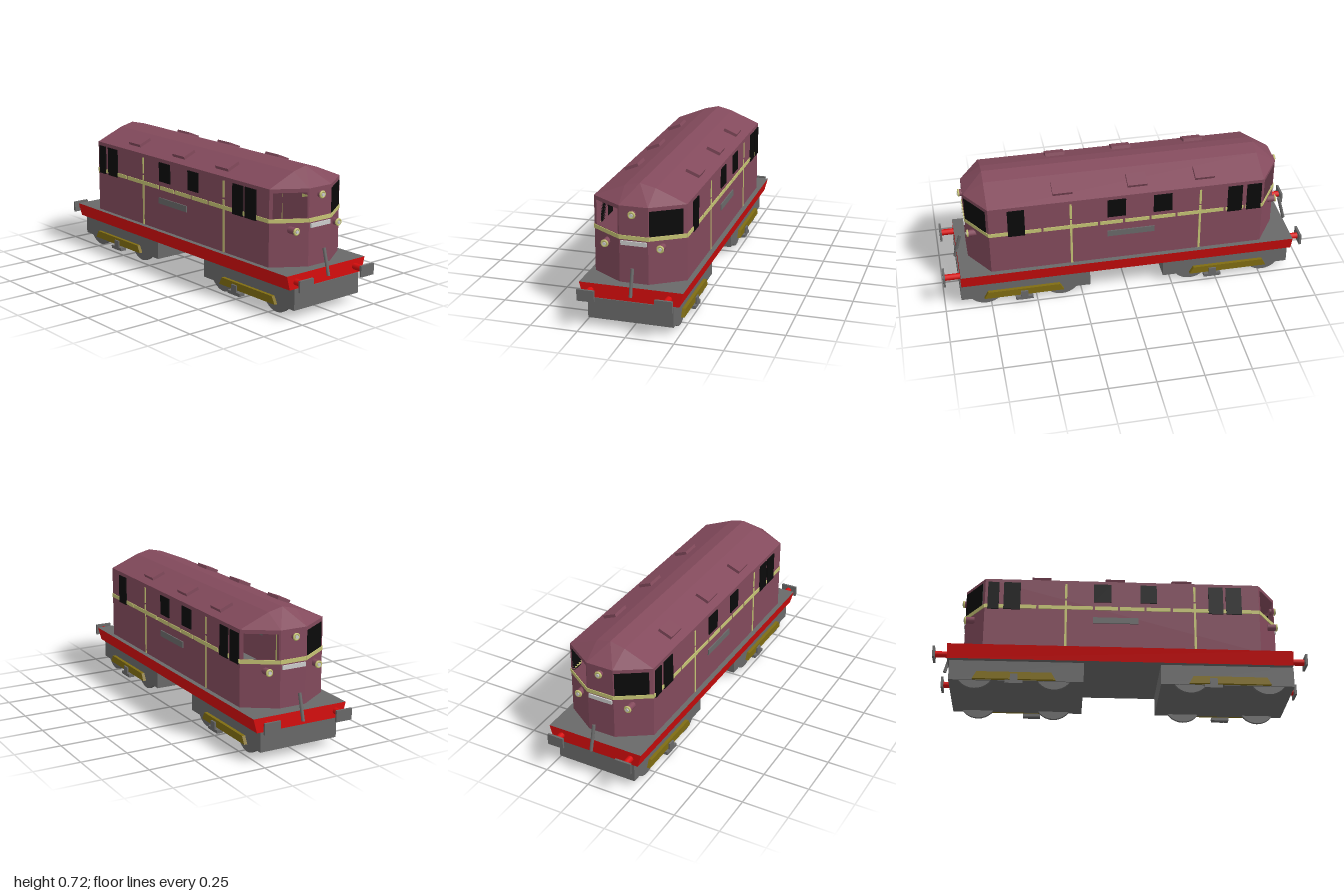
import * as THREE from 'three';

const mat = (name, color, side = THREE.FrontSide) => {
  const m = new THREE.MeshStandardMaterial({ color, side });
  m.name = name;
  return m;
};
const maroon = mat('maroon paint', 0x834a5c, THREE.DoubleSide);
const yellow = mat('pale yellow', 0xc6c474);
const black = mat('window black', 0x0a0a0a);
const silver = mat('silver', 0xcccccc);
const gray = mat('frame gray', 0x696969);
const red = mat('buffer red', 0xd60d0d);
const olive = mat('olive brass', 0x7f6c12);

const add = (parent, name, geo, m, x = 0, y = 0, z = 0) => {
  const mesh = new THREE.Mesh(geo, m);
  mesh.name = name;
  mesh.position.set(x, y, z);
  parent.add(mesh);
  return mesh;
};
const box = (parent, name, m, [w, h, d], x, y, z) =>
  add(parent, name, new THREE.BoxGeometry(w, h, d), m, x, y, z);
const rod = (parent, name, m, r, len, x, y, z, sides = 12) => {
  const mesh = add(parent, name, new THREE.CylinderGeometry(r, r, len, sides), m, x, y, z);
  mesh.rotation.x = Math.PI / 2;
  return mesh;
};

const BASE = 0.228, EAVE = 0.63, HALF = 0.242, NOSE = 0.075, SIDE_Z = 0.74, END_Z = 0.85;
// cab window in coordinates along its slanted panel
const CAB = { a: 0.006, b: 0.179, lo: 0.48, hi: 0.61 };

// thin plate on a wall panel, from a to b along it and lo to hi in height
const plate = (panel, name, m, a, b, lo, hi, t = 0.004) =>
  box(panel, name, m, [b - a, hi - lo, t], (a + b) / 2, (lo + hi) / 2, t / 2);

// upright wall between two plan points, local z pointing outward
function wall(parent, name, [x0, z0], [x1, z1], hole) {
  const g = new THREE.Group();
  g.name = name;
  g.position.set(x0, 0, z0);
  g.rotation.y = Math.atan2(z0 - z1, x1 - x0);
  g.userData.length = Math.hypot(x1 - x0, z1 - z0);
  const rect = (P, a, b, lo, hi) => {
    const p = new P();
    p.moveTo(a, lo).lineTo(b, lo).lineTo(b, hi).lineTo(a, hi).closePath();
    return p;
  };
  const s = rect(THREE.Shape, 0, g.userData.length, BASE, EAVE);
  if (hole) s.holes.push(rect(THREE.Path, hole.a, hole.b, hole.lo, hole.hi));
  add(g, name + 'Panel', new THREE.ShapeGeometry(s), maroon);
  parent.add(g);
  return g;
}

// one end and one long side of the body; the other half is this turned round
function bodyHalf({ tall, short, bands, sign }) {
  const g = new THREE.Group();
  g.name = 'bodyHalf';
  const A = [-HALF, SIDE_Z], B = [-NOSE, END_Z], C = [NOSE, END_Z], D = [HALF, SIDE_Z], E = [HALF, -SIDE_Z];

  const openSide = wall(g, 'openCabWall', A, B,
    { a: 0.197 - CAB.b, b: 0.197 - CAB.a, lo: CAB.lo, hi: CAB.hi });
  const nose = wall(g, 'noseWall', B, C);
  const glazed = wall(g, 'glazedCabWall', C, D);
  for (const w of [openSide, nose, glazed])
    plate(w, 'endStripe', yellow, 0, w.userData.length, 0.457, 0.478);
  const pane = plate(glazed, 'cabWindow', black, CAB.a, CAB.b, CAB.lo, CAB.hi, 0.005);
  pane.position.z = 0.001;
  plate(nose, 'nosePlate', silver, 0.009, 0.143, 0.428, 0.45, 0.008);

  const side = wall(g, 'sideWall', D, E);
  const gaps = [0, 0.282, 0.585, 0.72, 0.863, 1.005, 1.27, 1.38, 1.48];
  for (let i = 0; i + 1 < gaps.length; i++)
    plate(side, 'sideStripe', yellow, gaps[i] + (i ? 0.006 : 0), gaps[i + 1] - (i < 7 ? 0.006 : 0), 0.457, 0.478);
  for (const c of bands) {
    plate(side, 'uprightStripe', yellow, c - 0.006, c + 0.006, BASE, 0.51, 0.003);
    plate(side, 'uprightStripe', yellow, c - 0.006, c + 0.006, 0.52, 0.61, 0.003);
  }
  for (const [a, b] of tall) plate(side, 'tallWindow', black, a, b, 0.45, 0.61, 0.006);
  for (const [a, b] of short) plate(side, 'sideWindow', black, a, b, 0.504, 0.61, 0.006);
  plate(side, 'sidePlate', gray, sign[0], sign[1], 0.378, 0.412, 0.006);
  return g;
}

// pitched roof with a hipped end, made of two turned halves
function roof() {
  const p = {
    A: [-HALF, EAVE, SIDE_Z], B: [-NOSE, EAVE, END_Z], C: [NOSE, EAVE, END_Z], D: [HALF, EAVE, SIDE_Z],
    E: [HALF, EAVE, -SIDE_Z], M: [0.08, 0.697, SIDE_Z], m: [0.08, 0.697, -SIDE_Z],
    R: [0, 0.716, SIDE_Z], r: [0, 0.716, -SIDE_Z], N: [-0.08, 0.697, SIDE_Z],
  };
  const pos = [];
  for (const turn of [1, -1])
    for (const tri of 'DEm DmM Mmr MrR CDM CMR BCR BRN ABN'.split(' '))
      for (const k of tri) pos.push(p[k][0] * turn, p[k][1], p[k][2] * turn);
  const geo = new THREE.BufferGeometry();
  geo.setAttribute('position', new THREE.Float32BufferAttribute(pos, 3));
  geo.computeVertexNormals();
  return geo;
}

function lamp(parent, x, y, front, end, len) {
  const g = new THREE.Group();
  g.name = 'lamp';
  g.position.set(x, y, front * end);
  if (front < 0) g.rotation.y = Math.PI;
  rod(g, 'lampHousing', maroon, 0.018, len, 0, 0, -len / 2);
  add(g, 'lampRim', new THREE.TorusGeometry(0.0145, 0.006, 8, 20), yellow);
  rod(g, 'lampBack', yellow, 0.015, 0.006, 0, 0, 0);
  rod(g, 'lampLens', silver, 0.009, 0.012, 0, 0, 0.003);
  parent.add(g);
}

function bogie() {
  const g = new THREE.Group();
  g.name = 'bogie';
  box(g, 'bogieBlock', gray, [0.446, 0.11, 0.708], 0, 0.098, 0.558);
  for (const s of [1, -1]) {
    for (const z of [0.775, 0.36]) {
      const w = add(g, 'wheel', new THREE.CylinderGeometry(0.103, 0.103, 0.017, 32), gray, s * 0.208, 0.103, z);
      w.rotation.z = Math.PI / 2;
    }
    // side beam with slanted ends
    const beam = new THREE.BoxGeometry(0.018, 0.04, 0.435);
    const v = beam.attributes.position;
    for (let i = 0; i < v.count; i++) if (v.getY(i) > 0) v.setZ(i, v.getZ(i) * 0.9);
    beam.computeVertexNormals();
    add(g, 'sideBeam', beam, olive, s * 0.232, 0.065, 0.57);
    const z = s > 0 ? 0.57 : 0.48;
    box(g, 'stepBracket', gray, [0.012, 0.054, 0.04], s * 0.244, 0.045, z);
    box(g, 'stepTread', gray, [0.035, 0.017, 0.095], s * 0.2325, 0.027, z);
  }
  return g;
}

export function createModel() {
  const model = new THREE.Group();
  model.name = 'locomotive';

  // running frame, narrower at the bottom, red edges with gray deck and underside
  const frame = new THREE.BoxGeometry(0.54, 0.075, 1.83);
  const v = frame.attributes.position;
  for (let i = 0; i < v.count; i++) if (v.getY(i) < 0) v.setX(i, Math.sign(v.getX(i)) * 0.25);
  frame.computeVertexNormals();
  add(model, 'frame', frame, [red, red, gray, gray, red, red], 0, 0.1905, -0.008);

  const body = new THREE.Group();
  body.name = 'body';
  model.add(body);
  body.add(bodyHalf({
    tall: [[0.1, 0.19], [1.285, 1.365], [1.39, 1.47]], short: [[0.63, 0.73], [0.88, 0.98]],
    bands: [0.435, 1.135], sign: [0.63, 0.885],
  }));
  const other = bodyHalf({
    tall: [[0.015, 0.075], [0.1, 0.19], [1.205, 1.285], [1.3, 1.385]], short: [[0.585, 0.68], [0.836, 0.925]],
    bands: [0.435, 1.13], sign: [0.58, 0.825],
  });
  other.rotation.y = Math.PI;
  body.add(other);
  add(body, 'roof', roof(), maroon);

  // roof vents lying along the slope
  for (const [s, zs] of [[-1, [-0.438, -0.037, 0.328]], [1, [-0.425, -0.06, 0.34]]])
    for (const z of zs)
      box(body, 'roofVent', maroon, [0.078, 0.03, 0.105], s * 0.165, 0.664, z).rotation.z = -s * 0.39;

  for (const f of [1, -1]) {
    lamp(body, -0.153, 0.421, f, 0.845, 0.05);
    lamp(body, 0.135, 0.421, f, 0.845, 0.05);
    lamp(body, -0.003, 0.592, f, 0.868, 0.03);

    // buffers
    for (const x of [-0.209, 0.197]) {
      const end = f * x > 0 ? 1 : 0.985;
      rod(model, 'bufferRod', red, 0.017, 0.1, x, 0.19, f * (end - 0.06));
      box(model, 'bufferPlate', gray, [0.091, 0.06, 0.012], x, 0.19, f * (end - 0.006));
    }
    // leaning coupling bar
    const z = f > 0 ? 0.9 : -0.935;
    const bar = add(model, 'couplingBar', new THREE.CylinderGeometry(0.009, 0.009, 0.142, 12), gray, 0.003, 0.249, z);
    bar.rotation.x = -f * 0.26;
  }

  const rear = bogie();
  rear.rotation.y = Math.PI;
  model.add(bogie(), rear);
  return model;
}
